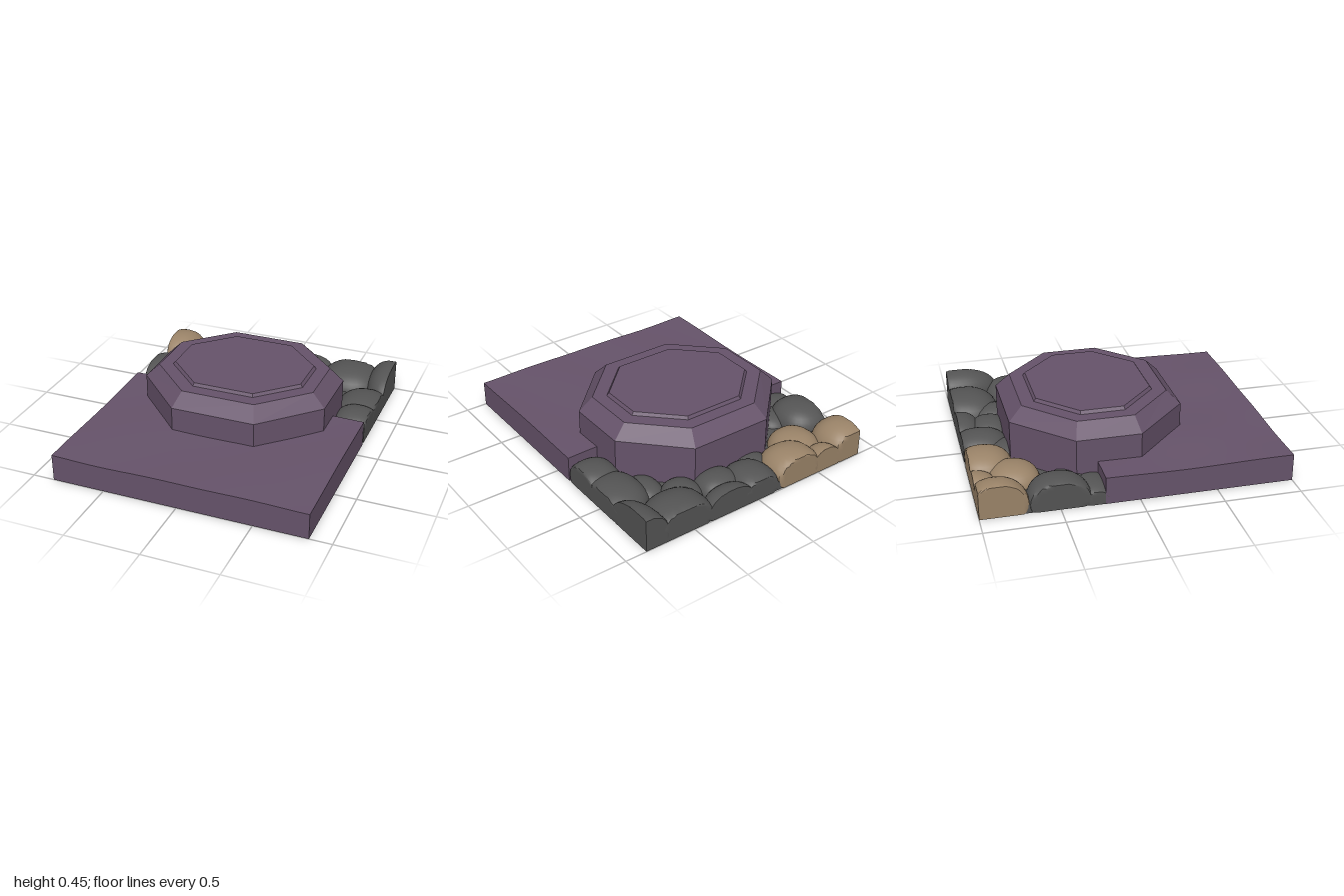
import * as THREE from 'three';
import { toCreasedNormals } from 'three/addons/utils/BufferGeometryUtils.js';

const HALF_W = 0.855;
const material = (name, color) => Object.assign(new THREE.MeshStandardMaterial({ color }), { name });

// Moves every vertex of a geometry by a rule
function reshape(geometry, rule, crease) {
  const p = geometry.attributes.position;
  const v = new THREE.Vector3();
  for (let i = 0; i < p.count; i++) {
    v.fromBufferAttribute(p, i);
    rule(v);
    p.setXYZ(i, v.x, v.y, v.z);
  }
  return toCreasedNormals(geometry, crease);
}

// Paving slab: gently uneven top, back edge stepped under the platform
function slabGeometry() {
  return reshape(new THREE.BoxGeometry(2 * HALF_W, 1, 1, 18, 1, 18), v => {
    const back = v.x < -0.05 ? -0.22 : -0.14;
    v.z = THREE.MathUtils.lerp(back, 1, v.z + 0.5);
    v.y = v.y < 0 ? 0 : 0.178 + 0.005 * Math.sin(v.x * 7 + 1 + v.z) * Math.cos(v.z * 5 - v.x * 2);
  }, 0.6);
}

// Octagon ring: outer half sizes and half lengths of its straight sides
const ring = ([hx, hz, fx, fz, y]) =>
  [[hx, fz], [hx, -fz], [fx, -hz], [-fx, -hz], [-hx, -fz], [-hx, fz], [-fx, hz], [fx, hz]]
    .map(([x, z]) => [x, y, z]);

// Stepped octagonal solid lofted through rings, capped at both ends
function octagonGeometry(levels) {
  const rings = levels.map(ring);
  const out = [];
  const tri = (a, b, c) => out.push(...a, ...b, ...c);
  for (let r = 0; r + 1 < rings.length; r++) {
    for (let i = 0; i < 8; i++) {
      const j = (i + 1) % 8;
      tri(rings[r][i], rings[r][j], rings[r + 1][j]);
      tri(rings[r][i], rings[r + 1][j], rings[r + 1][i]);
    }
  }
  const bottom = rings[0], top = rings[rings.length - 1];
  for (let i = 1; i < 7; i++) {
    tri(top[0], top[i], top[i + 1]);
    tri(bottom[0], bottom[i + 1], bottom[i]);
  }
  const g = new THREE.BufferGeometry();
  g.setAttribute('position', new THREE.Float32BufferAttribute(out, 3));
  g.computeVertexNormals();
  return g;
}

// Rounded boulder, cut flat at the ground and at the tile borders
function boulderGeometry([x, z, rx, rz, top], seed) {
  const cy = top * 0.3;
  const soft = t => Math.sign(t) * Math.pow(Math.abs(t), 0.88);
  return reshape(new THREE.SphereGeometry(1, 28, 18), v => {
    const bump = 1 + 0.03 * Math.sin(v.x * 3 + seed) * Math.cos(v.z * 3 + seed * 2);
    v.set(x + soft(v.x) * rx * bump, cy + v.y * (top - cy), z + soft(v.z) * rz * bump);
    v.x = THREE.MathUtils.clamp(v.x, -HALF_W, HALF_W);
    v.y = Math.max(v.y, 0.001);
    v.z = THREE.MathUtils.clamp(v.z, -1, v.x < 0 ? -0.2 : -0.135);
  }, 0.7);
}

export function createModel() {
  const model = new THREE.Group();
  model.name = 'stonePlatformTile';
  const purple = material('purpleStone', 0x66536a);
  const grey = material('greyRock', 0x545454);
  const tan = material('tanRock', 0x9a8368);

  const add = (name, geometry, mat, parent = model) => {
    const mesh = new THREE.Mesh(geometry, mat);
    mesh.name = name;
    parent.add(mesh);
    return mesh;
  };

  add('slab', slabGeometry(), purple);

  // Platform with bevelled rim and a low raised panel on top
  const platform = add('platform', octagonGeometry([
    [0.64, 0.57, 0.285, 0.21, 0],
    [0.64, 0.57, 0.285, 0.21, 0.34],
    [0.55, 0.48, 0.25, 0.185, 0.43],
    [0.465, 0.393, 0.21, 0.145, 0.43],
    [0.45, 0.38, 0.205, 0.14, 0.45],
  ]), purple);
  platform.position.z = -0.145;

  // Low bed that closes the gaps between the boulders
  const bed = add('rockBed', new THREE.BoxGeometry(2 * HALF_W - 0.01, 0.06, 0.84), grey);
  bed.position.set(0, 0.032, -0.575);

  // Boulders: x, z, radius x, radius z, height
  const greyRocks = [
    [-0.77, -0.50, 0.18, 0.20, 0.19], [-0.72, -0.27, 0.17, 0.11, 0.12],
    [-0.60, -0.40, 0.12, 0.14, 0.12], [-0.03, -0.88, 0.16, 0.19, 0.17],
    [-0.14, -0.74, 0.14, 0.12, 0.13], [0.17, -0.79, 0.16, 0.14, 0.16],
    [0.21, -0.98, 0.18, 0.14, 0.17], [0.55, -0.90, 0.22, 0.22, 0.19],
    [0.40, -0.73, 0.13, 0.14, 0.14], [0.74, -0.52, 0.18, 0.22, 0.17],
    [0.84, -0.92, 0.16, 0.28, 0.23], [0.76, -0.29, 0.17, 0.17, 0.18],
    [0.56, -0.55, 0.11, 0.14, 0.12],
  ];
  const tanRocks = [
    [-0.80, -0.88, 0.18, 0.19, 0.22], [-0.51, -0.74, 0.17, 0.17, 0.17],
    [-0.34, -0.90, 0.19, 0.19, 0.20], [-0.57, -0.99, 0.12, 0.15, 0.16],
  ];
  const boulders = new THREE.Group();
  boulders.name = 'boulders';
  model.add(boulders);
  greyRocks.forEach((r, i) => add(`greyBoulder${i + 1}`, boulderGeometry(r, i), grey, boulders));
  tanRocks.forEach((r, i) => add(`tanBoulder${i + 1}`, boulderGeometry(r, i + 20), tan, boulders));

  return model;
}
